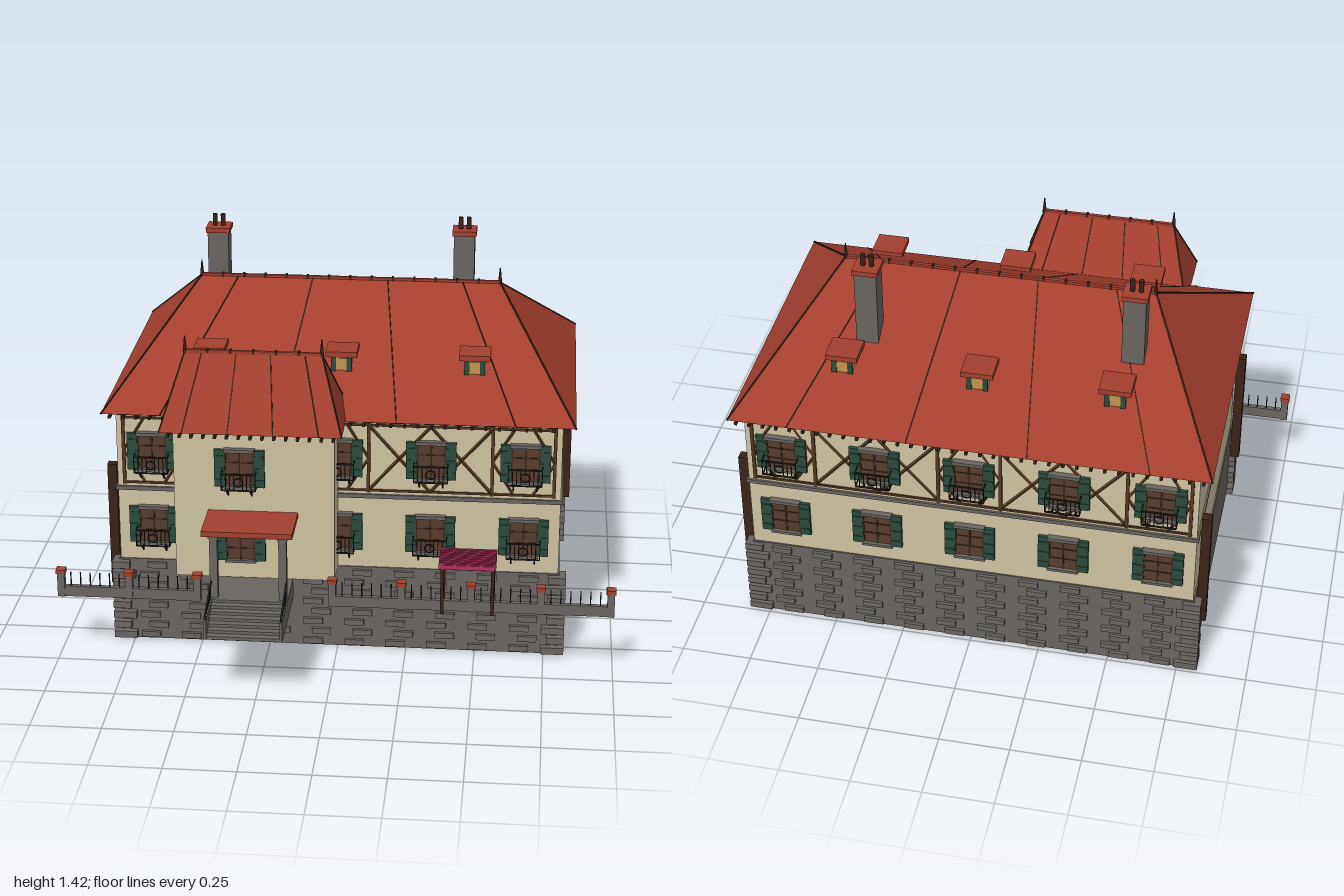
import * as THREE from 'three';

const mat = (name, color, side = THREE.FrontSide) => {
  const m = new THREE.MeshStandardMaterial({ color, side });
  m.name = name;
  return m;
};

export function createModel() {
  const wall = mat('cream plaster', 0xcfc3a0), roof = mat('red tile', 0xa43f2f), stone = mat('grey stone', 0x696561),
    green = mat('green shutter', 0x2b4b3d), brown = mat('window brown', 0x583c2e), timber = mat('timber', 0x54371f),
    dark = mat('dark wood', 0x3a2318), iron = mat('iron', 0x1f1f22), pink = mat('pink canopy', 0xb2305e),
    tan = mat('dormer pane', 0xc8924f);

  const model = new THREE.Group();
  const group = (name, parent = model) => {
    const g = new THREE.Group();
    g.name = name;
    parent.add(g);
    return g;
  };
  const add = (parent, name, geo, m, x = 0, y = 0, z = 0) => {
    const mesh = new THREE.Mesh(geo, m);
    mesh.name = name;
    mesh.position.set(x, y, z);
    parent.add(mesh);
    return mesh;
  };
  // Box given by its x, y and z extents
  const box = (p, name, m, x0, x1, y0, y1, z0, z1) =>
    add(p, name, new THREE.BoxGeometry(x1 - x0, y1 - y0, z1 - z0), m, (x0 + x1) / 2, (y0 + y1) / 2, (z0 + z1) / 2);
  // Square bar between two points
  const beam = (p, name, m, a, b, t) => {
    const A = new THREE.Vector3(...a), B = new THREE.Vector3(...b), d = B.clone().sub(A), c = A.clone().add(B).multiplyScalar(0.5);
    const mesh = add(p, name, new THREE.BoxGeometry(t, t, d.length()), m, c.x, c.y, c.z);
    mesh.quaternion.setFromUnitVectors(new THREE.Vector3(0, 0, 1), d.normalize());
  };

  // Hipped roof with seams, hip and ridge trim and finials
  const hipRoof = (name, x0, x1, z0, z1, y0, r0, r1, y1, seams, rafters) => {
    const g = group(name), zr = (z0 + z1) / 2;
    const a = [x0, y0, z1], b = [x1, y0, z1], c = [x1, y0, z0], d = [x0, y0, z0], p = [r0, y1, zr], q = [r1, y1, zr];
    const geo = new THREE.BufferGeometry();
    geo.setAttribute('position', new THREE.Float32BufferAttribute(
      [a, b, q, a, q, p, b, c, q, c, d, p, c, p, q, d, a, p, a, d, c, a, c, b].flat(), 3));
    geo.computeVertexNormals();
    add(g, 'roofTiles', geo, roof);
    [[a, p], [d, p], [b, q], [c, q]].forEach(([s, t]) => beam(g, 'hipTrim', dark, s, t, 0.005));
    for (const z of [z0, z1]) {
      for (let i = 0; i < seams; i++) {
        const u = (i + 0.5) / seams;
        beam(g, 'roofSeam', dark, [x0 + (x1 - x0) * u, y0, z], [r0 + (r1 - r0) * u, y1, zr], 0.004);
      }
      const s = z > zr ? -1 : 1;
      for (let i = 0; i <= rafters; i++) {
        const x = x0 + 0.03 + (x1 - x0 - 0.06) * i / rafters;
        box(g, 'rafterTail', dark, x - 0.005, x + 0.005, y0 - 0.017, y0 - 0.006, Math.min(z, z + s * 0.05), Math.max(z, z + s * 0.05));
      }
    }
    beam(g, 'ridge', roof, p, q, 0.012);
    const n = Math.round((r1 - r0) / 0.08);
    for (let i = 0; i <= n; i++) {
      const x = r0 + (r1 - r0) * i / n;
      box(g, 'ridgeClip', dark, x - 0.004, x + 0.004, y1 - 0.005, y1 + 0.01, zr - 0.007, zr + 0.007);
    }
    for (const x of [r0, r1]) add(g, 'finial', new THREE.CylinderGeometry(0.002, 0.008, 0.06, 8), dark, x, y1 + 0.025, zr);
  };

  // Stone base with corner quoins and raised stones
  const base = group('base');
  box(base, 'foundation', stone, -0.8, 0.8, 0, 0.32, -0.73, 0.305);
  for (let i = 0; i < 8; i++) {
    const y = i * 0.04 + 0.008, w = i % 2 ? 0.04 : 0.06;
    for (const x of [-0.8, 0.8]) for (const z of [-0.73, 0.305])
      box(base, 'quoin', stone, x - (x > 0 ? w : 0.024), x + (x > 0 ? 0.024 : w), y, y + 0.026,
        z - (z > 0 ? w : 0.016), z + (z > 0 ? 0.025 : w));
    for (let k = 0; k < 10; k++) {
      const x = -0.69 + k * 0.15 + (i % 2 ? 0.03 : 0);
      box(base, 'facingStone', stone, x - 0.035, x + 0.035, y, y + 0.022, -0.742, -0.72);
      box(base, 'facingStone', stone, x - 0.035, x + 0.035, y, y + 0.022, 0.295, 0.317);
    }
  }

  // Plastered storeys, front bay and bands
  const walls = group('walls');
  box(walls, 'mainWalls', wall, -0.795, 0.795, 0.32, 0.895, -0.725, 0.3);
  box(walls, 'frontBay', wall, -0.57, 0, 0.32, 0.895, 0.28, 0.43);
  box(walls, 'floorBand', stone, -0.802, 0.802, 0.592, 0.607, -0.733, 0.308);
  box(walls, 'eavesBand', dark, -0.802, 0.802, 0.882, 0.893, -0.733, 0.308);

  hipRoof('mainRoof', -0.84, 0.84, -0.775, 0.345, 0.898, -0.55, 0.55, 1.245, 4, 34);
  hipRoof('bayRoof', -0.607, 0.032, 0.205, 0.505, 0.898, -0.53, -0.05, 1.15, 4, 14);

  // Upper timber framing, front and back
  for (const z of [0.301, -0.726]) {
    const g = group('timberFrame');
    for (const y of [0.622, 0.872]) box(g, 'rail', timber, -0.77, 0.77, y - 0.004, y + 0.004, z - 0.004, z + 0.004);
    for (let i = 0; i < 7; i++) {
      const x = -0.77 + i * 0.22, e = x + 0.22;
      if (i % 3 === 0) {
        for (const k of [x, e]) {
          box(g, 'post', timber, k - 0.006, k + 0.006, 0.615, 0.88, z - 0.005, z + 0.005);
          const m = (x + e) / 2 + (k - (x + e) / 2) * 0.3;
          beam(g, 'brace', timber, [k, 0.745, z], [m, 0.622, z], 0.008);
          beam(g, 'brace', timber, [k, 0.745, z], [m, 0.872, z], 0.008);
        }
      } else {
        beam(g, 'brace', timber, [x, 0.622, z], [e, 0.872, z], 0.008);
        beam(g, 'brace', timber, [x, 0.872, z], [e, 0.622, z], 0.008);
      }
    }
  }

  // Shuttered window, optionally with an iron balcony
  const windowUnit = (x, y, z, back, balcony) => {
    const g = group('window');
    g.position.set(x, y, z);
    if (back) g.rotation.y = Math.PI;
    box(g, 'pane', brown, -0.05, 0.05, -0.065, 0.065, -0.002, 0.007);
    for (const k of [-0.05, 0, 0.05]) box(g, 'mullion', dark, k - 0.003, k + 0.003, -0.065, 0.065, 0, 0.01);
    for (const k of [-0.022, 0.022]) box(g, 'glazingBar', dark, -0.05, 0.05, k - 0.002, k + 0.002, 0, 0.009);
    box(g, 'lintel', stone, -0.055, 0.055, 0.063, 0.075, 0, 0.022);
    box(g, 'sill', stone, -0.055, 0.055, -0.075, -0.065, 0, 0.02);
    for (const s of [-1, 1]) {
      box(g, 'shutter', green, s * 0.07 - 0.019, s * 0.07 + 0.019, -0.07, 0.07, 0, 0.012);
      for (const k of [-0.045, 0, 0.045]) box(g, 'shutterBatten', green, s * 0.07 - 0.016, s * 0.07 + 0.016, k - 0.004, k + 0.004, 0.01, 0.015);
    }
    if (!balcony) return;
    const b = group('balcony', g), t = -0.008, f = -0.068, d = 0.047;
    for (const h of [t, f]) {
      beam(b, 'balconyRail', iron, [-0.06, h, d], [0.06, h, d], 0.005);
      for (const s of [-0.06, 0.06]) beam(b, 'balconySide', iron, [s, h, 0], [s, h, d], 0.004);
    }
    for (let i = 0; i <= 8; i++) if (i !== 4) beam(b, 'baluster', iron, [-0.06 + i * 0.015, f, d], [-0.06 + i * 0.015, t, d], 0.003);
    add(b, 'rosette', new THREE.TorusGeometry(0.016, 0.003, 5, 12), iron, 0, -0.038, d);
    for (const s of [-0.042, 0.042]) {
      beam(b, 'bracket', iron, [s, f, d], [s, -0.1, 0.004], 0.005);
      beam(b, 'bracketPost', iron, [s, f, 0.004], [s, -0.105, 0.004], 0.005);
    }
  };
  for (const x of [-0.667, 0, 0.333, 0.667]) for (const y of [0.745, 0.46]) windowUnit(x, y, 0.301, false, true);
  windowUnit(-0.335, 0.745, 0.43, false, true);
  windowUnit(-0.335, 0.46, 0.43, false, false);
  for (let i = -2; i <= 2; i++) {
    windowUnit(i * 0.333, 0.745, -0.726, true, true);
    windowUnit(i * 0.333, 0.46, -0.726, true, false);
  }

  // Dormers on both slopes
  for (const x of [-0.475, 0, 0.475]) for (const back of [false, true]) {
    const g = group('dormer');
    g.position.set(x, 0, -0.215);
    if (back) g.rotation.y = Math.PI;
    box(g, 'dormerBody', wall, -0.036, 0.036, 0.98, 1.075, 0.25, 0.365);
    box(g, 'dormerRoof', roof, -0.056, 0.056, 1.072, 1.092, 0.272, 0.38);
    box(g, 'dormerPane', tan, -0.02, 0.02, 1.02, 1.065, 0.364, 0.369);
    for (const s of [-0.028, 0.028]) box(g, 'dormerShutter', green, s - 0.009, s + 0.009, 1.017, 1.068, 0.364, 0.372);
  }

  // Chimneys
  for (const [x, z] of [[-0.51, -0.405], [0.41, -0.44]]) {
    const g = group('chimney');
    box(g, 'shaft', stone, x - 0.039, x + 0.039, 1, 1.36, z - 0.039, z + 0.039);
    box(g, 'cap', roof, x - 0.045, x + 0.045, 1.36, 1.378, z - 0.045, z + 0.045);
    for (const s of [-0.015, 0.015]) add(g, 'pot', new THREE.CylinderGeometry(0.009, 0.009, 0.05, 10), dark, x + s, 1.397, z);
  }

  // Dark posts against the end walls
  for (const [x, z] of [[0.822, -0.68], [-0.822, -0.68], [-0.822, 0.25]])
    box(model, 'wallPost', dark, x - 0.017, x + 0.017, 0.205, 0.672, z - 0.017, z + 0.017);

  // Porch and stairs
  const porch = group('porch');
  box(porch, 'porchRoof', roof, -0.45, -0.13, 0.56, 0.58, 0.42, 0.62);
  for (const x of [-0.41, -0.167]) {
    box(porch, 'porchPost', stone, x - 0.014, x + 0.014, 0.3, 0.555, 0.572, 0.6);
    box(porch, 'capital', stone, x - 0.018, x + 0.018, 0.545, 0.56, 0.568, 0.604);
  }
  box(porch, 'landing', stone, -0.425, -0.15, 0.24, 0.317, 0.42, 0.615);
  for (let i = 0; i < 6; i++)
    box(porch, 'step', stone, -0.42, -0.155, 0.24, 0.252 + i * 0.011, 0.61, 0.772 - i * 0.026);
  for (const x of [-0.42, -0.155]) {
    box(porch, 'cheekWall', stone, x - 0.005, x + 0.005, 0.24, 0.315, 0.6, 0.774);
    beam(porch, 'handrail', iron, [x, 0.32, 0.772], [x, 0.382, 0.592], 0.006);
    for (let i = 1; i < 7; i++) beam(porch, 'stairBaluster', iron, [x, 0.31, 0.772 - i * 0.026], [x, 0.32 + i * 0.009, 0.772 - i * 0.026], 0.003);
  }

  // Low garden wall with pillars and railing spikes
  const fence = group('fence');
  for (const [x0, x1, n] of [[-0.983, -0.49, 2], [-0.005, 0.983, 4]]) {
    box(fence, 'lowWall', stone, x0, x1, 0.24, 0.28, 0.457, 0.475);
    for (let i = 0; i <= n; i++) {
      const x = x0 + (x1 - x0) * i / n;
      box(fence, 'pillar', stone, x - 0.013, x + 0.013, 0.24, 0.333, 0.453, 0.479);
      box(fence, 'pillarCap', roof, x - 0.017, x + 0.017, 0.33, 0.345, 0.449, 0.483);
      for (let k = 1; k < 7 && i < n; k++) {
        const s = x + k * 0.035;
        beam(fence, 'spike', iron, [s, 0.275, 0.466], [s, 0.332, 0.466], 0.004);
      }
    }
  }

  // Garden canopy
  const canopy = group('canopy');
  box(canopy, 'canopyTop', pink, 0.38, 0.57, 0.415, 0.432, 0.362, 0.505);
  for (let i = 0; i < 8; i++) box(canopy, 'canopySlat', pink, 0.374, 0.576, 0.417, 0.436, 0.366 + i * 0.018, 0.376 + i * 0.018);
  for (const x of [0.387, 0.565]) for (const z of [0.38, 0.498])
    box(canopy, 'canopyPost', dark, x - 0.006, x + 0.006, 0.24, 0.416, z - 0.006, z + 0.006);

  return model;
}
